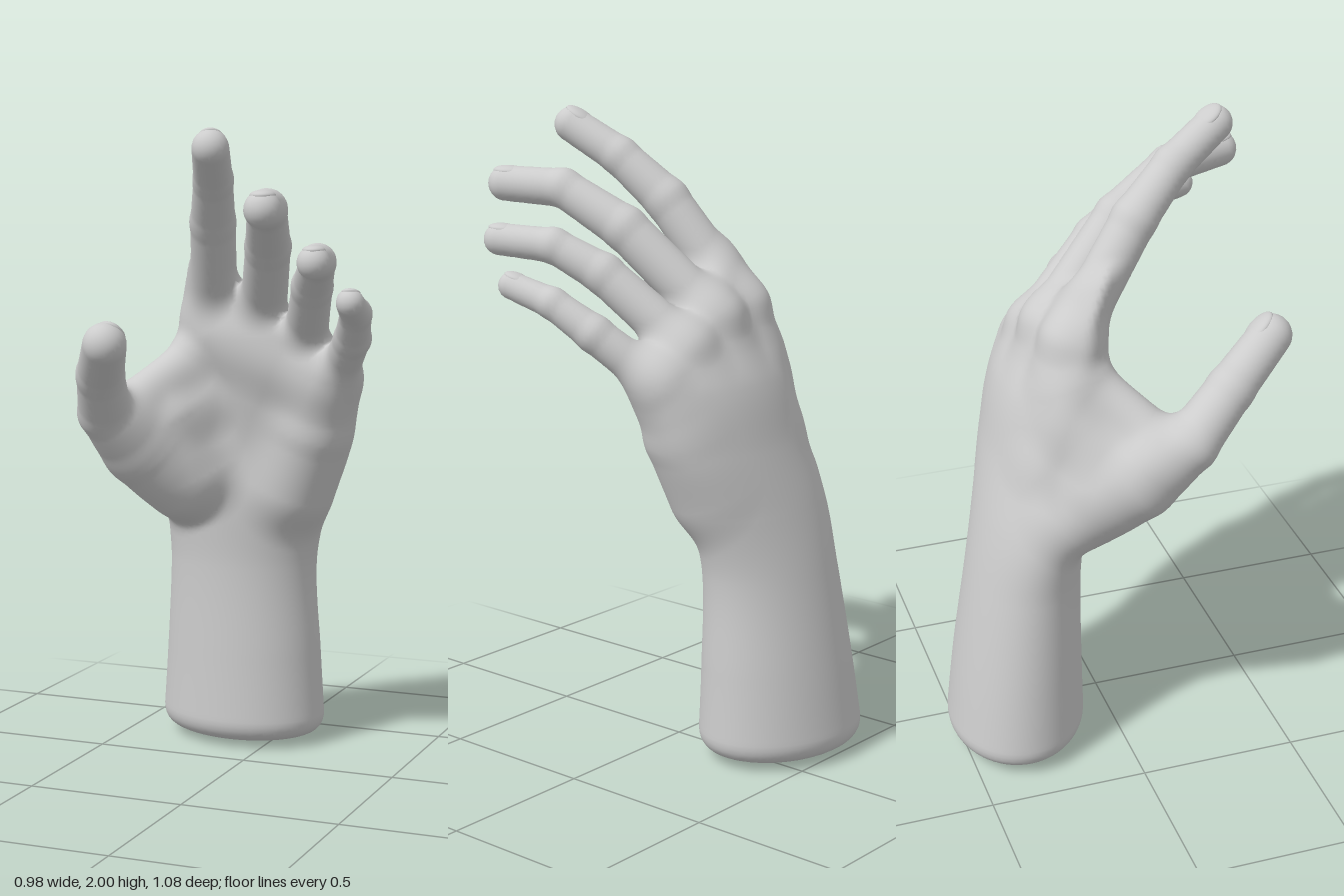
import * as THREE from 'three';

// Each finger: joints from knuckle to tip as [x, y, z, radius]
const FINGERS = {
  thumb: [[-0.25, 0.88, -0.09, 0.12], [-0.345, 1.0, 0.03, 0.118], [-0.40, 1.125, 0.165, 0.084], [-0.345, 1.26, 0.31, 0.073], [-0.252, 1.368, 0.472, 0.066]],
  indexFinger: [[-0.15, 1.40, -0.13, 0.074], [-0.06, 1.72, 0.10, 0.069], [0, 1.85, 0.24, 0.059], [0.055, 1.943, 0.392, 0.055]],
  middleFinger: [[0.005, 1.385, -0.15, 0.074], [0.125, 1.65, 0.11, 0.069], [0.195, 1.765, 0.30, 0.059], [0.255, 1.77, 0.488, 0.055]],
  ringFinger: [[0.145, 1.315, -0.155, 0.07], [0.257, 1.53, 0.08, 0.062], [0.325, 1.61, 0.22, 0.053], [0.377, 1.618, 0.398, 0.049]],
  littleFinger: [[0.255, 1.22, -0.14, 0.062], [0.366, 1.37, 0.02, 0.056], [0.417, 1.455, 0.14, 0.047], [0.447, 1.497, 0.28, 0.042]],
};
const NAMES = Object.keys(FINGERS);

// Forearm and palm: horizontal ellipses [y, centre x, centre z, radius x, radius z]
const ARM = [
  [0, -0.127, -0.321, 0.288, 0.228], [0.3, -0.12, -0.305, 0.266, 0.205], [0.6, -0.111, -0.28, 0.25, 0.178],
  [0.8, -0.085, -0.25, 0.272, 0.165], [1.0, -0.02, -0.22, 0.285, 0.144], [1.2, 0.01, -0.173, 0.29, 0.138],
  [1.35, 0.0, -0.12, 0.265, 0.108], [1.5, -0.01, -0.08, 0.22, 0.07], [1.7, 0.02, 0.03, 0.16, 0.05],
];

// Fleshy masses of the hand: [blend width, tapered chain of points]
const MASSES = [
  [0.1, [[0.1, 0.86, -0.185, 0.103], [0.18, 1.05, -0.145, 0.097], [0.25, 1.24, -0.115, 0.068]]], // heel of the palm
  [0.1, [[-0.12, 1.36, -0.1, 0.066], [0.22, 1.22, -0.105, 0.06]]], // pads below the fingers
  [0.1, [[-0.2, 0.92, -0.08, 0.096], [-0.25, 1.1, -0.01, 0.08]]], // ball of the thumb
  [0.07, [[-0.27, 0.86, -0.17, 0.108], [-0.38, 1.08, 0.05, 0.086]]], // outer edge of the thumb root
  [0.08, [[-0.3, 0.95, -0.06, 0.095], [-0.18, 1.0, -0.18, 0.105]]], // flesh between thumb and palm
  [0.08, [[-0.35, 1.05, 0.04, 0.076], [-0.2, 1.14, -0.12, 0.096]]],
  [0.08, [[-0.3, 1.0, -0.07, 0.09], [-0.19, 1.26, -0.14, 0.076]]],
  [0.06, [[-0.375, 1.12, 0.105, 0.065], [-0.22, 1.27, -0.07, 0.065]]], // web of the thumb
  ...NAMES.slice(1).map((n, i) => { // back-of-hand bones
    const [x, y, z, r] = FINGERS[n][0];
    return [0.06, [[-0.15 + i * 0.05, 0.75, -0.27, 0.055], [x, y, z, r]]];
  }),
];

const smin = (a, b, k) => {
  const h = Math.max(k - Math.abs(a - b), 0) / k;
  return Math.min(a, b) - h * h * k / 4;
};

// Distance to a tapered capsule
function capsule(x, y, z, a, b) {
  const dx = b[0] - a[0], dy = b[1] - a[1], dz = b[2] - a[2];
  const px = x - a[0], py = y - a[1], pz = z - a[2];
  const t = Math.min(1, Math.max(0, (px * dx + py * dy + pz * dz) / (dx * dx + dy * dy + dz * dz)));
  return Math.sqrt((px - t * dx) ** 2 + (py - t * dy) ** 2 + (pz - t * dz) ** 2) - a[3] - t * (b[3] - a[3]);
}

// Distance to a chain of capsules, softened at the joints
function chain(x, y, z, points) {
  let d = 9;
  for (let i = 1; i < points.length; i++) d = smin(d, capsule(x, y, z, points[i - 1], points[i]), 0.014);
  return d;
}

// Distance to the forearm and palm, with a slightly domed base and a slanted finger line
function arm(x, y, z) {
  const yc = Math.min(1.699, Math.max(0, y));
  let i = 0;
  while (ARM[i + 1][0] <= yc) i++;
  const p0 = ARM[Math.max(i - 1, 0)], p1 = ARM[i], p2 = ARM[i + 1], p3 = ARM[Math.min(i + 2, ARM.length - 1)];
  const h = p2[0] - p1[0], t = (yc - p1[0]) / h;
  const at = (j) => {
    const m1 = (p2[j] - p0[j]) / (p2[0] - p0[0]) * h, m2 = (p3[j] - p1[j]) / (p3[0] - p1[0]) * h;
    return p1[j] * (1 + 2 * t) * (1 - t) ** 2 + m1 * t * (1 - t) ** 2 + p2[j] * t * t * (3 - 2 * t) + m2 * t * t * (t - 1);
  };
  const rx = at(3), rz = at(4), dx = x - at(1);
  const skew = 0.08 * Math.max(0, 1 - yc / 0.8);
  const u = dx / rx, v = (z - at(2) - skew * dx) / rz;
  const q = Math.hypot(u, v), g = Math.hypot(u / rx, v / rz);
  const side = g < 1e-6 ? -rz : q * (q - 1) / g;
  const top = (y + 0.7 * x - 1.5) / 1.22;
  return -smin(smin(-side, y - 0.035 * q * q, 0.06), -top, 0.06);
}

const dist = new Float64Array(6);
// Signed distance to the whole skin; also fills dist with the distance to each part
function skin(x, y, z) {
  let body = arm(x, y, z);
  for (const [k, points] of MASSES) body = smin(body, chain(x, y, z, points), k);
  dist[5] = body;
  let fingers = 9;
  NAMES.forEach((name, n) => {
    dist[n] = chain(x, y, z, FINGERS[name]);
    if (n) fingers = Math.min(fingers, dist[n]);
  });
  return smin(smin(body, dist[0], 0.06), fingers, 0.045);
}

function slope(p) {
  const e = 0.005, [x, y, z] = p;
  return new THREE.Vector3(
    skin(x + e, y, z) - skin(x - e, y, z),
    skin(x, y + e, z) - skin(x, y - e, z),
    skin(x, y, z + e) - skin(x, y, z - e)).divideScalar(2 * e);
}

// Wraps one seamless skin around the masses and splits it into parts
function buildSkin() {
  const S = 0.0155, O = [-0.56, -0.04, -0.62], N = [73, 135, 77];
  const stride = [1, N[0], N[0] * N[1]];
  const val = new Float32Array(N[0] * N[1] * N[2]);
  const each = (from, fn) => {
    for (let k = from; k < N[2] - 1; k++)
      for (let j = from; j < N[1] - 1; j++)
        for (let i = from; i < N[0] - 1; i++) fn(i, j, k, i + j * stride[1] + k * stride[2]);
  };
  val.fill(1);
  each(0, (i, j, k, id) => { val[id] = skin(O[0] + i * S, O[1] + j * S, O[2] + k * S); });

  // One vertex per cell the surface crosses, pulled onto the surface
  const cell = new Int32Array(val.length).fill(-1), verts = [];
  each(0, (i, j, k, id) => {
    const sum = [0, 0, 0];
    let n = 0;
    for (let c = 0; c < 8; c++) for (let a = 0; a < 3; a++) {
      if (c >> a & 1) continue;
      const o = [c & 1, c >> 1 & 1, c >> 2 & 1];
      const s = id + o[0] + o[1] * stride[1] + o[2] * stride[2];
      const v0 = val[s], v1 = val[s + stride[a]];
      if ((v0 < 0) === (v1 < 0)) continue;
      o[a] += v0 / (v0 - v1);
      for (let b = 0; b < 3; b++) sum[b] += o[b];
      n++;
    }
    if (!n) return;
    const p = [i, j, k].map((v, b) => O[b] + (v + sum[b] / n) * S);
    const g = slope(p);
    const move = Math.max(-S, Math.min(S, skin(...p) / Math.max(g.lengthSq(), 0.2)));
    p[0] -= g.x * move; p[1] -= g.y * move; p[2] -= g.z * move;
    const normal = slope(p).normalize();
    skin(...p);
    let part = dist.indexOf(Math.min(...dist));
    if (part === 5 && p[1] < 0.72) part = 6;
    cell[id] = verts.length;
    verts.push({ p, normal, part });
  });

  // Quads around every crossed grid edge, sorted by part
  const faces = Array.from({ length: 7 }, () => []);
  each(1, (i, j, k, id) => {
    for (let a = 0; a < 3; a++) {
      const inside = val[id] < 0;
      if (inside === (val[id + stride[a]] < 0)) continue;
      const b = stride[(a + 1) % 3], c = stride[(a + 2) % 3];
      const q = [cell[id], cell[id - b], cell[id - b - c], cell[id - c]];
      if (!inside) q.reverse();
      faces[verts[q[0]].part].push(q[0], q[1], q[2], q[0], q[2], q[3]);
    }
  });
  return faces.map((list) => {
    const map = new Map(), pos = [], nor = [];
    const index = list.map((v) => {
      if (!map.has(v)) {
        map.set(v, map.size);
        pos.push(...verts[v].p);
        nor.push(...verts[v].normal.toArray());
      }
      return map.get(v);
    });
    const geo = new THREE.BufferGeometry();
    geo.setAttribute('position', new THREE.Float32BufferAttribute(pos, 3));
    geo.setAttribute('normal', new THREE.Float32BufferAttribute(nor, 3));
    return geo.setIndex(index);
  });
}

export function createModel() {
  const group = new THREE.Group();
  group.name = 'hand';
  const clay = new THREE.MeshStandardMaterial({ color: 0xcccccc });
  clay.name = 'grey clay';

  const partNames = [...NAMES, 'palm', 'forearm'];
  buildSkin().forEach((geo, i) => {
    const mesh = new THREE.Mesh(geo, clay);
    mesh.name = partNames[i];
    group.add(mesh);
  });

  // Fingernails: shallow domes set into the back of each tip
  for (const name of NAMES) {
    const [a, b] = FINGERS[name].slice(-2), r = b[3];
    const tip = new THREE.Vector3(b[0], b[1], b[2]);
    const dir = tip.clone().sub(new THREE.Vector3(a[0], a[1], a[2])).normalize();
    const up = name === 'thumb' ? new THREE.Vector3(0.4, 1, -0.2) : new THREE.Vector3(0, 1, 0);
    up.addScaledVector(dir, -up.dot(dir)).normalize();
    const side = new THREE.Vector3().crossVectors(up, dir);
    const nail = new THREE.Mesh(new THREE.SphereGeometry(1, 24, 16), clay);
    nail.name = name + 'Nail';
    nail.quaternion.setFromRotationMatrix(new THREE.Matrix4().makeBasis(side, up, dir));
    nail.scale.set(0.7 * r, 0.3 * r, 0.95 * r);
    nail.position.copy(tip).addScaledVector(up, 0.73 * r).addScaledVector(dir, -0.2 * r);
    group.add(nail);
  }
  return group;
}
